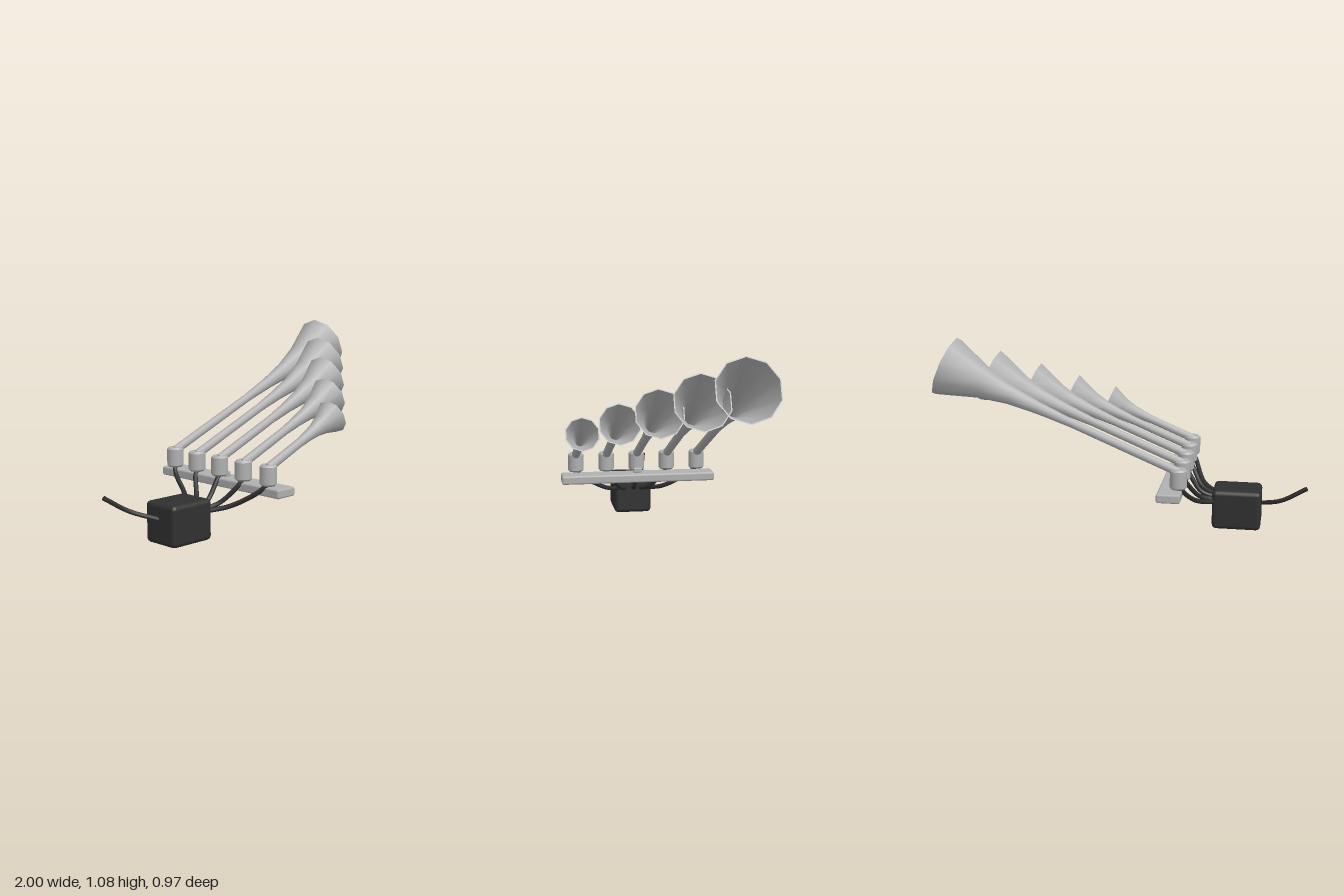
import * as THREE from 'three';
import { RoundedBoxGeometry } from 'three/addons/geometries/RoundedBoxGeometry.js';

const metal = new THREE.MeshStandardMaterial({ color: 0xb0b0b0 });
metal.name = 'silver metal';
const rubber = new THREE.MeshStandardMaterial({ color: 0x303030 });
rubber.name = 'black rubber';

// Lathe with hard edges: each profile corner in `pts` is doubled
function hardLathe(pts, sides, sharp = () => true) {
  const profile = pts.flatMap(([r, y], i) => {
    const p = new THREE.Vector2(r, y);
    return i > 0 && i < pts.length - 1 && sharp(i) ? [p, p.clone()] : [p];
  });
  return new THREE.LatheGeometry(profile, sides, Math.PI / 2);
}

function add(parent, name, geometry, material, x = 0, y = 0, z = 0) {
  const mesh = new THREE.Mesh(geometry, material);
  mesh.name = name;
  mesh.position.set(x, y, z);
  parent.add(mesh);
  return mesh;
}

// Round hose through the given points, closed at both ends
function addHose(parent, name, points, radius) {
  const path = new THREE.CatmullRomCurve3(points.map(p => new THREE.Vector3(...p)), false, 'centripetal');
  add(parent, name, new THREE.TubeGeometry(path, 12, radius, 10), rubber);
  [0, 1].forEach(t => {
    const cap = add(parent, name + 'End', new THREE.CircleGeometry(radius, 10), rubber);
    const dir = path.getTangent(t).multiplyScalar(t ? 1 : -1);
    cap.position.copy(path.getPoint(t));
    cap.quaternion.setFromUnitVectors(new THREE.Vector3(0, 0, 1), dir);
  });
}

// Flared horn: outer wall up, thin rim, inner wall back down
function hornGeometry(length, mouth) {
  const neck = 0.024, wall = 0.006;
  const flare = [[0, 0], [0.46, 0], [0.6, 0.07], [0.72, 0.19], [0.84, 0.45], [1, 1]];
  const outer = flare.map(([t, f]) => [neck + (mouth - neck) * f, t * length]);
  const inner = outer.map(([r, y]) => [r - wall, y]).reverse();
  inner[inner.length - 1][1] = 0.03;
  const pts = [[0, 0], ...outer, ...inner, [0, 0.03]];
  const hard = new Set([1, 6, 7, 12]);
  return hardLathe(pts, 10, i => hard.has(i));
}

export function createModel() {
  const model = new THREE.Group();
  model.name = 'airHornSet';

  // Compressor box and its supply cable
  add(model, 'compressor', new RoundedBoxGeometry(0.27, 0.222, 0.224, 2, 0.025), rubber, -0.614, 0.114, 0.035);
  addHose(model, 'supplyCable', [[-0.995, 0.273, -0.102], [-0.86, 0.187, -0.064], [-0.73, 0.135, 0.035]], 0.012);

  // Mounting bar with a small centre fitting
  add(model, 'mountingBar', new RoundedBoxGeometry(0.13, 0.05, 0.9, 1, 0.011), metal, -0.275, 0.274, 0.035);
  add(model, 'centreFitting', new RoundedBoxGeometry(0.035, 0.03, 0.05, 1, 0.006), metal, -0.275, 0.312, 0.035);

  // Five horns, shortest at the front, each on a canister fed by a hose
  const tilt = THREE.MathUtils.degToRad(22.9);
  const canister = hardLathe([[0, 0], [0.037, 0], [0.046, 0.01], [0.046, 0.1], [0.037, 0.11], [0, 0.11]], 16);
  for (let i = 0; i < 5; i++) {
    const z = 0.397 - 0.18025 * i;
    const horn = new THREE.Group();
    horn.name = 'horn' + (i + 1);
    add(horn, 'canister', canister, metal, -0.32, 0.308, z);
    const bell = add(horn, 'bell', hornGeometry(0.545 + 0.204 * i, 0.096 + 0.0181 * i), metal, -0.32, 0.4, z);
    bell.rotation.z = tilt - Math.PI / 2;

    const fan = k => 0.035 + (z - 0.035) * k;
    addHose(horn, 'airHose', [
      [-0.5, 0.155, fan(0.22)], [-0.41, 0.186, fan(0.5)],
      [-0.345, 0.28, fan(0.92)], [-0.32, 0.32, z],
    ], 0.013);
    model.add(horn);
  }
  return model;
}
